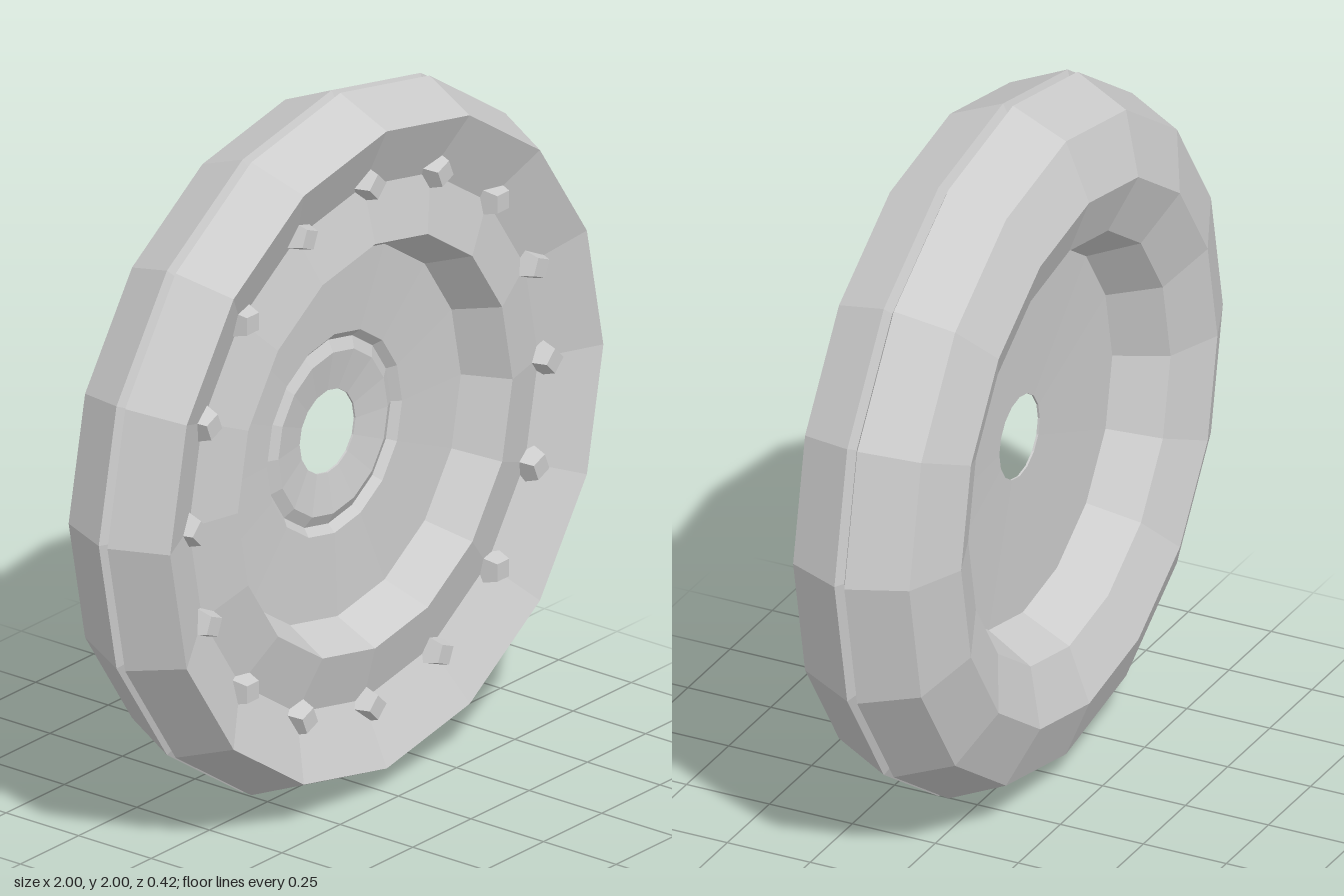
import * as THREE from 'three';

const SIDES = 16;

export function createModel() {
  const metal = new THREE.MeshStandardMaterial({ color: 0xcccccc, flatShading: true });
  metal.name = 'grey metal';

  const wheel = new THREE.Group();
  wheel.name = 'wheel';
  wheel.position.y = 1;

  // Faceted ring turned around the z axis from [radius, z] points
  const addRing = (name, profile) => {
    const points = profile.map(([r, z]) => new THREE.Vector2(r, z));
    const geometry = new THREE.LatheGeometry(points, SIDES).rotateX(Math.PI / 2).toNonIndexed();
    geometry.computeVertexNormals();
    const mesh = new THREE.Mesh(geometry, metal);
    mesh.name = name;
    wheel.add(mesh);
  };

  // Back half of the rim, from the inner wall out to the seam
  addRing('backRim', [[0.53, -0.01], [0.6, -0.15], [0.76, -0.21], [0.93, -0.14], [1, 0.02], [0.97, 0.035]]);

  // Front half of the rim, with a shallow valley for the studs
  addRing('frontRim', [[0.97, 0.035], [1, 0.05], [0.93, 0.21], [0.75, 0.13], [0.59, 0.17], [0.53, 0.04]]);

  // Centre disc with a groove around the hub and an open hole
  addRing('hubDisc', [[0.53, 0.04], [0.29, 0.03], [0.268, 0.008], [0.235, 0.025], [0.12, 0.006], [0.12, 0], [0.53, -0.01]]);

  // Four-sided studs along the valley
  const studShape = new THREE.CylinderGeometry(0.036, 0.06, 0.07, 4).rotateX(Math.PI / 2).toNonIndexed();
  studShape.computeVertexNormals();
  for (let i = 0; i < SIDES; i++) {
    const angle = (i / SIDES) * Math.PI * 2;
    const stud = new THREE.Mesh(studShape, metal);
    stud.name = 'stud';
    stud.position.set(Math.cos(angle) * 0.76, Math.sin(angle) * 0.76, 0.145);
    stud.rotation.z = angle;
    wheel.add(stud);
  }

  const model = new THREE.Group();
  model.name = 'facetedWheel';
  model.add(wheel);
  return model;
}
